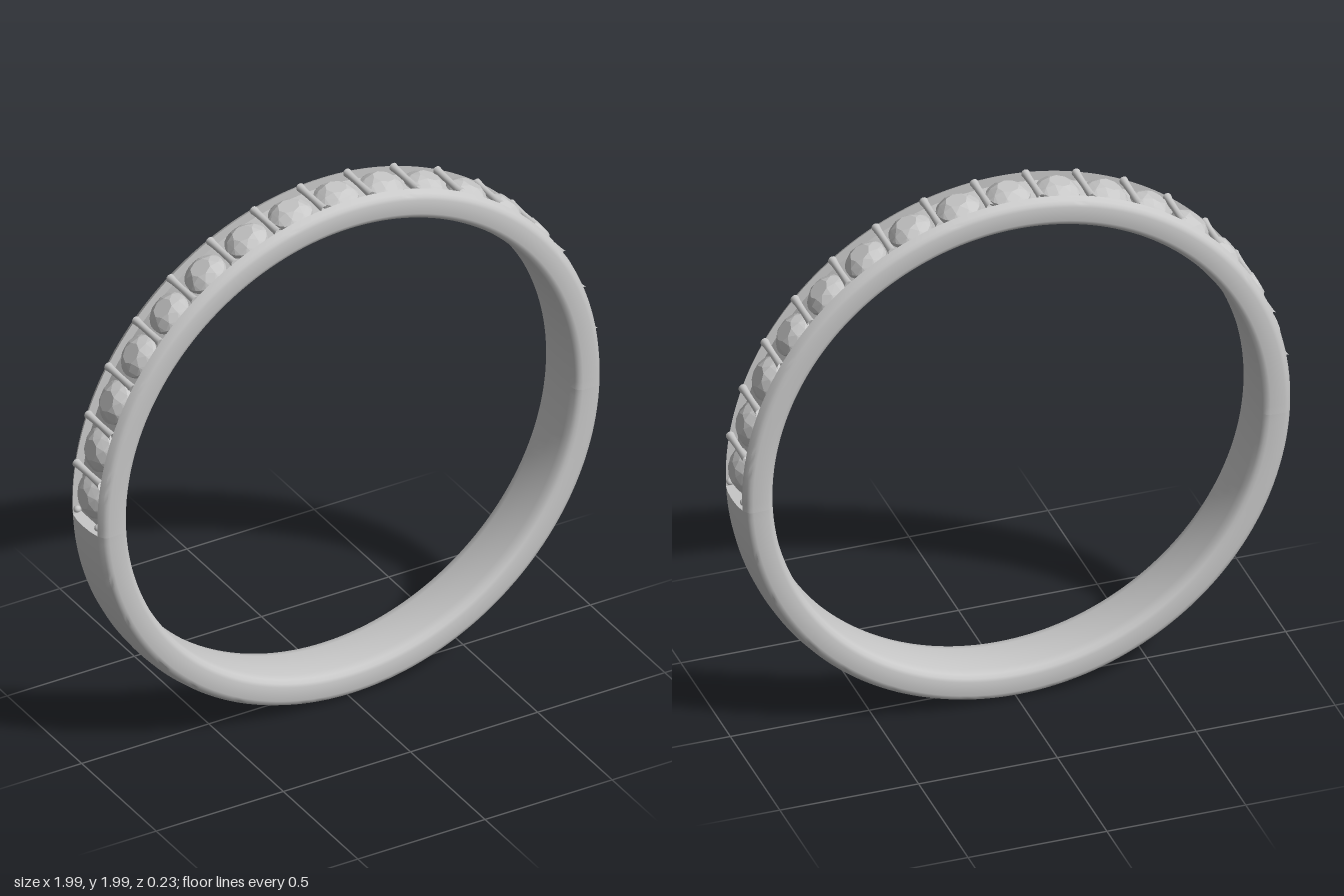
import * as THREE from 'three';
import { toCreasedNormals } from 'three/addons/utils/BufferGeometryUtils.js';
import { ConvexGeometry } from 'three/addons/geometries/ConvexGeometry.js';

const rad = THREE.MathUtils.degToRad;
const STONES = 17, STEP = rad(10.8), CENTER_Y = 0.997;
const CHANNEL_END = rad(-2.7); // channel runs from here over the top to the mirrored angle

// Half cross-sections as [radius, z], from outer middle to inner middle
const rim = [[0.987, 0.083], [0.977, 0.102], [0.968, 0.110], [0.957, 0.113], [0.905, 0.113],
  [0.893, 0.109], [0.883, 0.097], [0.878, 0.07], [0.876, 0]];
const plainHalf = [[0.996, 0], [0.994, 0.045], ...rim];
const channelHalf = [[0.953, 0], [0.953, 0.083], ...rim];

// Closed counter-clockwise section made from a half and its mirror
function section(half) {
  const lower = half.slice(1).reverse().map(([r, z]) => new THREE.Vector2(r, -z));
  return [...lower, ...half.map(([r, z]) => new THREE.Vector2(r, z))];
}

// Sweep a section round the z axis; angles count from +x
function arc(half, start, length) {
  const g = new THREE.LatheGeometry(section(half), 96, start + Math.PI / 2, length);
  g.rotateX(Math.PI / 2);
  return toCreasedNormals(g, 0.7);
}

// Faceted round stone, table facing +y
function stoneGeometry() {
  const pts = [];
  const ring = (n, r, y, turn = 0) => {
    for (let i = 0; i < n; i++) {
      const a = ((i + turn) / n) * Math.PI * 2;
      pts.push(new THREE.Vector3(Math.cos(a) * r, y, Math.sin(a) * r));
    }
  };
  ring(24, 0.076, -0.02);
  ring(24, 0.076, 0);
  ring(8, 0.061, 0.016, 0.5);
  ring(8, 0.038, 0.03);
  return new ConvexGeometry(pts);
}

// Crossbar lying along z, a little wider where it meets the rails
function barGeometry() {
  const pts = [[0.0155, -0.085], [0.013, -0.06], [0.0115, 0], [0.013, 0.06], [0.0155, 0.085]]
    .map(([r, y]) => new THREE.Vector2(r, y));
  return new THREE.LatheGeometry(pts, 14).rotateX(Math.PI / 2);
}

export function createModel() {
  const metal = new THREE.MeshStandardMaterial({ color: 0xc8c8c8 });
  metal.name = 'silverGrey';
  const model = new THREE.Group();
  model.name = 'ring';
  const add = (name, geometry) => {
    const mesh = new THREE.Mesh(geometry, metal);
    mesh.name = name;
    mesh.position.y = CENTER_Y;
    model.add(mesh);
    return mesh;
  };
  // Seat a part on the ring at an angle, its y axis pointing outward
  const seat = (mesh, angle, radius, z = 0) => {
    mesh.position.set(Math.cos(angle) * radius, CENTER_Y + Math.sin(angle) * radius, z);
    mesh.rotation.z = angle - Math.PI / 2;
  };

  // Band: channelled upper half and plain lower half
  const span = Math.PI - 2 * CHANNEL_END;
  add('channelBand', arc(channelHalf, CHANNEL_END, span));
  add('plainBand', arc(plainHalf, CHANNEL_END + span, Math.PI * 2 - span));

  // End walls of the channel
  for (const side of [1, -1]) {
    const a = side > 0 ? CHANNEL_END : Math.PI - CHANNEL_END;
    const wall = new THREE.ShapeGeometry(new THREE.Shape(section(plainHalf)));
    wall.applyMatrix4(new THREE.Matrix4().makeBasis(
      new THREE.Vector3(Math.cos(a), Math.sin(a), 0),
      new THREE.Vector3(0, 0, -side),
      new THREE.Vector3(-Math.sin(a) * side, Math.cos(a) * side, 0)));
    add('channelEnd', wall);
  }

  // Stones and the crossbars between them
  const stone = stoneGeometry(), bar = barGeometry();
  const half = (STONES - 1) / 2;
  for (let i = -half; i <= half; i++) {
    const a = Math.PI / 2 + i * STEP;
    seat(add('stone', stone), a, 0.967);
    if (i < half) seat(add('crossbar', bar), a + STEP / 2, 0.983);
  }

  // Small corner prongs holding the last stones
  const prong = new THREE.SphereGeometry(0.013, 12, 8);
  for (const end of [1, -1]) {
    for (const z of [0.07, -0.07]) {
      seat(add('prong', prong), Math.PI / 2 + end * (half + 0.45) * STEP, 0.977, z);
    }
  }
  return model;
}
